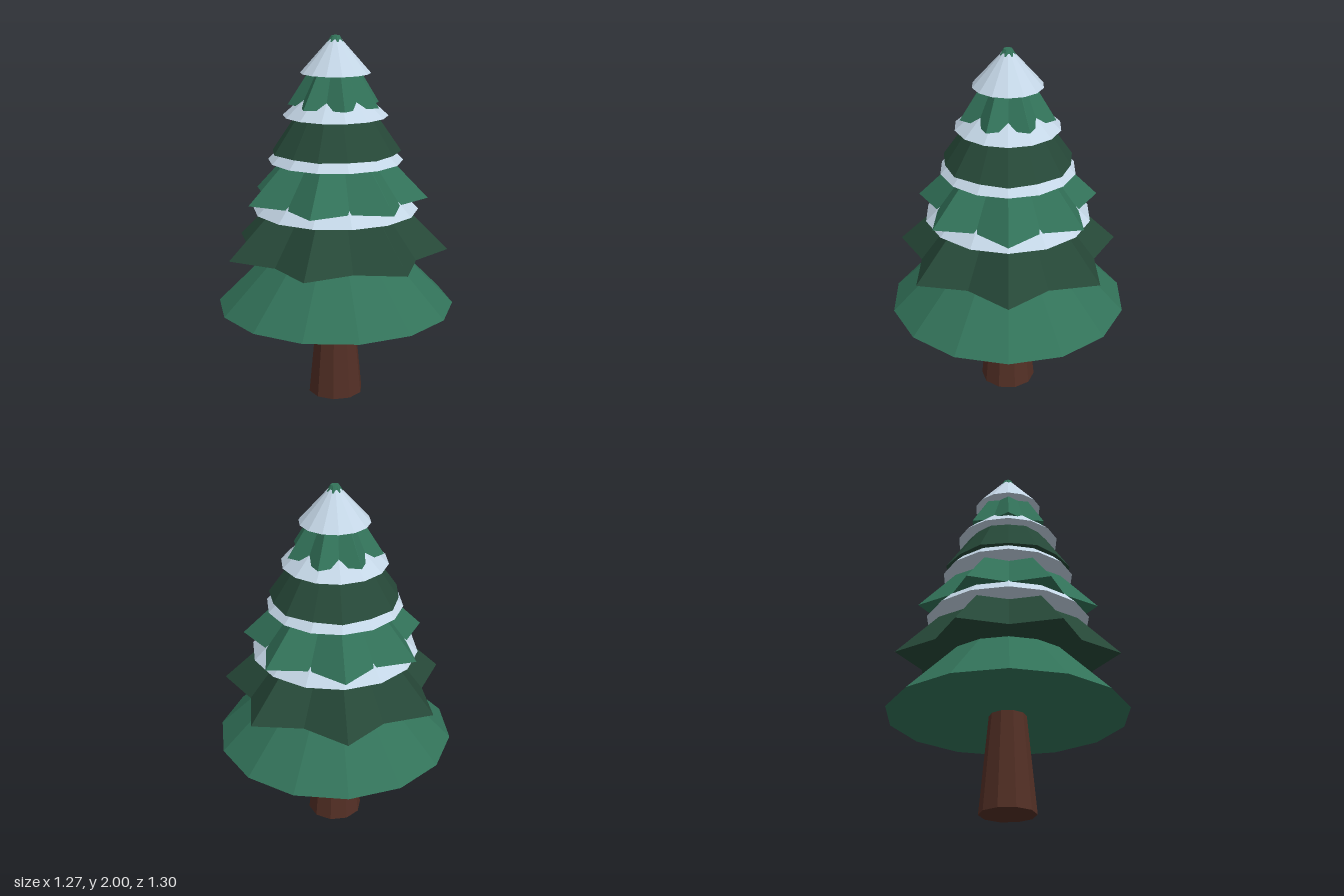
import * as THREE from 'three';

const SIDES = 14;

const paint = (name, color) => {
  const m = new THREE.MeshStandardMaterial({ color });
  m.name = name;
  return m;
};

// Faceted normals: every face gets its own corners
function faceted(geometry) {
  const g = geometry.toNonIndexed();
  g.computeVertexNormals();
  return g;
}

// Closed cone tier from y0 to y1; odd and even rim corners may differ to make a seven-pointed star
function tier(y0, y1, evenRadius, oddRadius, topRadius) {
  const g = new THREE.CylinderGeometry(topRadius, 1, y1 - y0, SIDES);
  g.translate(0, (y0 + y1) / 2, 0);
  const p = g.attributes.position;
  const middle = (y0 + y1) / 2;
  for (let i = 0; i < p.count; i++) {
    const x = p.getX(i), z = p.getZ(i);
    if (p.getY(i) > middle || Math.hypot(x, z) < 0.5) continue;
    const corner = Math.round((Math.atan2(x, z) / (2 * Math.PI)) * SIDES);
    const r = corner % 2 === 0 ? evenRadius : oddRadius;
    p.setXYZ(i, x * r, y0, z * r);
  }
  return faceted(g);
}

export function createModel() {
  const green = paint('light green needles', 0x327259);
  const dark = paint('dark green needles', 0x264838);
  const snow = paint('snow', 0xc4d6e6);
  const bark = paint('bark', 0x532f25);

  const tree = new THREE.Group();
  tree.name = 'snowyFirTree';
  const add = (name, geometry, material) => {
    const mesh = new THREE.Mesh(geometry, material);
    mesh.name = name;
    tree.add(mesh);
  };

  // Tapered ten-sided trunk
  const trunk = new THREE.CylinderGeometry(0.1, 0.152, 0.54, 10);
  trunk.translate(0, 0.27, 0);
  add('trunk', faceted(trunk), bark);

  // Branch and snow tiers: name, base y, top y, even radius, odd radius, top radius, material
  const tiers = [
    ['bottomBranches', 0.53, 1.16, 0.65, 0.65, 0.02, green],
    ['lowerStarBranches', 0.84, 1.44, 0.482, 0.615, 0.02, dark],
    ['lowerSnow', 1.07, 1.5, 0.45, 0.45, 0.02, snow],
    ['middleStarBranches', 1.13, 1.63, 0.385, 0.5, 0.02, green],
    ['middleSnow', 1.34, 1.68, 0.364, 0.364, 0.02, snow],
    ['upperBranches', 1.39, 1.87, 0.338, 0.352, 0.02, dark],
    ['upperSnow', 1.58, 1.815, 0.282, 0.282, 0.02, snow],
    ['topStarBranches', 1.635, 2, 0.255, 0.198, 0.022, green],
    ['snowCap', 1.805, 1.99, 0.187, 0.187, 0.023, snow],
  ];
  for (const [name, y0, y1, even, odd, top, material] of tiers) {
    add(name, tier(y0, y1, even, odd, top), material);
  }
  return tree;
}
